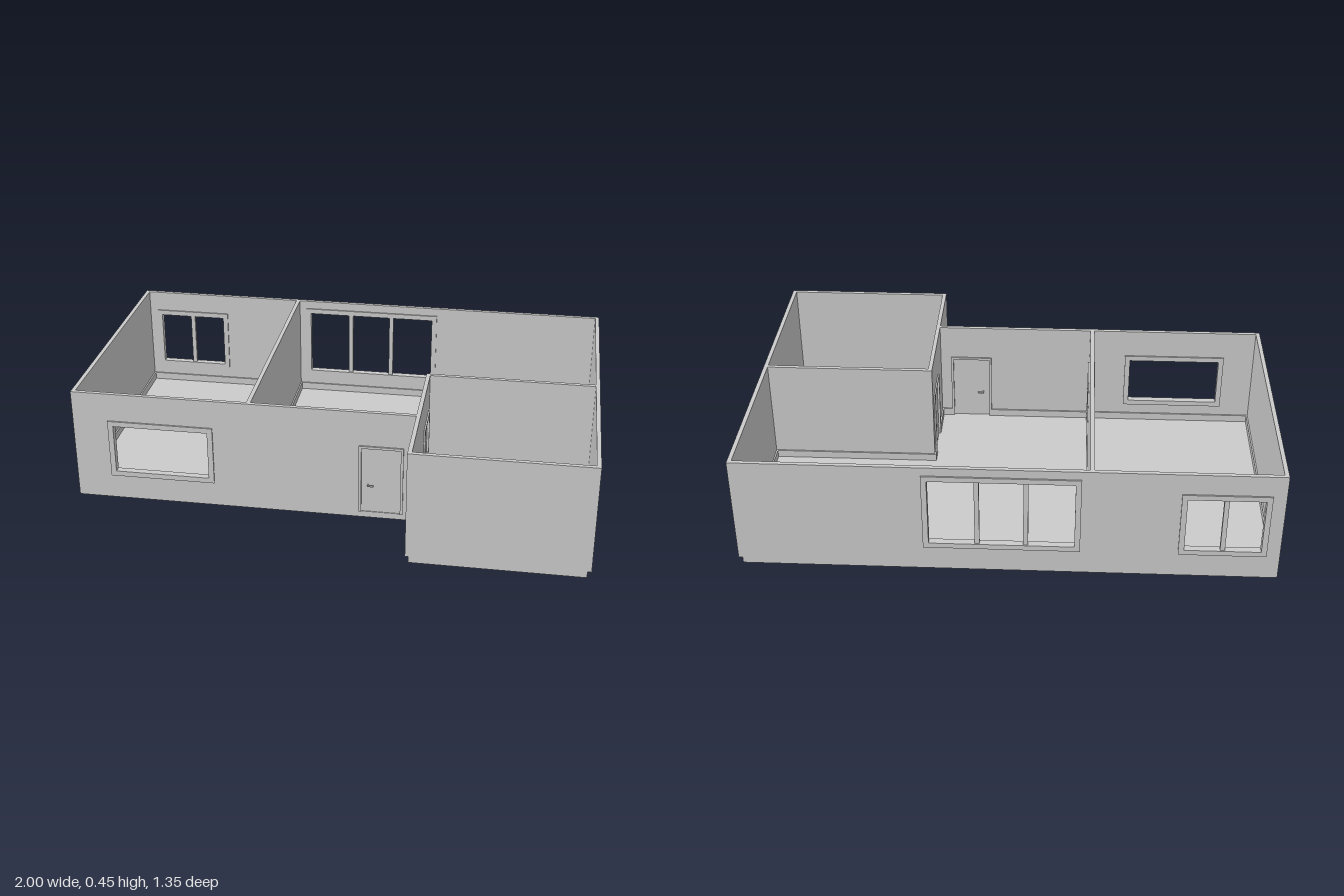
import * as THREE from 'three';

const T = 0.016;       // wall thickness
const FLOOR = 0.025;   // floor slab thickness
const TOP = 0.45;      // wall top
const BOARD = 0.006;   // skirting and trim projection
const material = new THREE.MeshStandardMaterial({ color: 0xcccccc });

// Box given by its limits
function box(parent, name, x0, x1, y0, y1, z0, z1) {
  const mesh = new THREE.Mesh(new THREE.BoxGeometry(x1 - x0, y1 - y0, z1 - z0), material);
  mesh.position.set((x0 + x1) / 2, (y0 + y1) / 2, (z0 + z1) / 2);
  mesh.name = name;
  parent.add(mesh);
  return mesh;
}

function rectPath(x0, x1, y0, y1) {
  return new THREE.Path([[x0, y0], [x0, y1], [x1, y1], [x1, y0]].map(p => new THREE.Vector2(...p))).closePath();
}

// Raised surround, running through the wall
function addTrim(parent, name, o, w) {
  const d = T / 2 + BOARD;
  const low = o.door ? FLOOR : o.y0 - w;
  box(parent, name, o.a - w, o.a, low, o.y1 + w, -d, d);
  box(parent, name, o.b, o.b + w, low, o.y1 + w, -d, d);
  box(parent, name, o.a, o.b, o.y1, o.y1 + w, -d, d);
  if (!o.door) box(parent, name, o.a, o.b, low, o.y0, -d, d);
}

function addWindow(parent, o) {
  const g = new THREE.Group();
  g.name = 'window';
  addTrim(g, 'windowFrame', o, 0.021);
  for (let i = 1; i < o.panes; i++) {
    const x = o.a + (o.b - o.a) * i / o.panes;
    box(g, 'mullion', x - 0.009, x + 0.009, o.y0, o.y1, -T / 2, T / 2);
  }
  parent.add(g);
}

function addDoor(parent, o) {
  const g = new THREE.Group();
  g.name = 'door';
  addTrim(g, 'doorFrame', o, 0.01);
  box(g, 'doorPanel', o.a, o.b, FLOOR, o.y1, -0.005, 0.005);
  // lever handle on both faces
  const x = o.a + 0.026;
  const spindle = new THREE.Mesh(new THREE.CylinderGeometry(0.003, 0.003, 0.034, 10), material);
  spindle.rotation.x = Math.PI / 2;
  spindle.position.set(x, 0.142, 0);
  spindle.name = 'handleSpindle';
  g.add(spindle);
  for (const s of [-1, 1]) {
    const lever = box(g, 'handleLever', x - 0.003, x + 0.022, 0.139, 0.144, -0.0025, 0.0025);
    lever.position.z = s * 0.016;
  }
  parent.add(g);
}

// Wall along x or z at offset c; boards are [side, start, end] skirting runs
function addWall(parent, { name, axis, from, to, c, openings = [], boards = [] }) {
  const g = new THREE.Group();
  g.name = name;
  const doors = openings.filter(o => o.door);
  const outline = [[from, FLOOR]];
  for (const o of doors) outline.push([o.a, FLOOR], [o.a, o.y1], [o.b, o.y1], [o.b, FLOOR]);
  outline.push([to, FLOOR], [to, TOP], [from, TOP]);
  const shape = new THREE.Shape(outline.map(p => new THREE.Vector2(...p)));
  for (const o of openings) if (!o.door) shape.holes.push(rectPath(o.a, o.b, o.y0, o.y1));
  const geo = new THREE.ExtrudeGeometry(shape, { depth: T, bevelEnabled: false });
  geo.translate(0, 0, -T / 2);
  const mesh = new THREE.Mesh(geo, material);
  mesh.name = name + 'Panel';
  g.add(mesh);

  for (const o of openings) (o.door ? addDoor : addWindow)(g, o);

  // skirting, interrupted at the doors
  for (const [side, start, end] of boards) {
    const z0 = side > 0 ? T / 2 : -T / 2 - BOARD;
    let a = start;
    for (const o of doors) {
      if (o.a <= start || o.b >= end) continue;
      box(g, 'skirting', a, o.a - 0.01, FLOOR, FLOOR + 0.03, z0, z0 + BOARD);
      a = o.b + 0.01;
    }
    box(g, 'skirting', a, end, FLOOR, FLOOR + 0.03, z0, z0 + BOARD);
  }

  if (axis === 'x') g.position.z = c;
  else {
    g.rotation.y = -Math.PI / 2;
    g.position.x = c;
  }
  parent.add(g);
}

export function createModel() {
  const house = new THREE.Group();
  house.name = 'house';

  // Floor slab following the plan
  const plan = [[-1, -0.667], [0.985, -0.667], [0.985, 0.672], [0.34, 0.672], [0.34, 0.38], [-1, 0.38]];
  const slab = new THREE.ExtrudeGeometry(
    new THREE.Shape(plan.map(([x, z]) => new THREE.Vector2(x, -z))),
    { depth: FLOOR, bevelEnabled: false });
  slab.rotateX(-Math.PI / 2);
  const floor = new THREE.Mesh(slab, material);
  floor.name = 'floor';
  house.add(floor);

  const walls = [
    { name: 'frontWall', axis: 'x', from: -1, to: 0.328, c: 0.372,
      openings: [
        { a: -0.84, b: -0.47, y0: 0.12, y1: 0.315, panes: 1 },
        { door: true, a: 0.125, b: 0.275, y1: 0.3 }],
      boards: [[-1, -0.984, -0.316], [-1, -0.3, 0.328]] },
    { name: 'backWall', axis: 'x', from: -1, to: 1, c: -0.659,
      openings: [
        { a: -0.93, b: -0.65, y0: 0.12, y1: 0.345, panes: 2 },
        { a: -0.25, b: 0.285, y0: 0.12, y1: 0.395, panes: 3 }],
      boards: [[1, -0.984, -0.316], [1, -0.3, 0.984]] },
    { name: 'leftEndWall', axis: 'z', from: -0.651, to: 0.364, c: -0.992,
      boards: [[-1, -0.651, 0.364]] },
    { name: 'dividingWall', axis: 'z', from: -0.651, to: 0.364, c: -0.308,
      openings: [{ door: true, a: 0.185, b: 0.335, y1: 0.3 }],
      boards: [[-1, -0.651, 0.364], [1, -0.651, 0.364]] },
    { name: 'rightEndWall', axis: 'z', from: -0.651, to: 0.656, c: 0.992,
      boards: [[1, -0.651, 0.008], [1, 0.024, 0.656]] },
    { name: 'annexFrontWall', axis: 'x', from: 0.328, to: 1, c: 0.664,
      boards: [[-1, 0.344, 0.984]] },
    { name: 'annexBackWall', axis: 'x', from: 0.344, to: 0.984, c: 0.016,
      boards: [[1, 0.344, 0.984], [-1, 0.322, 0.984]] },
    { name: 'annexSideWall', axis: 'z', from: 0.008, to: 0.656, c: 0.336,
      openings: [{ door: true, a: 0.06, b: 0.21, y1: 0.3 }],
      boards: [[-1, 0.024, 0.656], [1, 0.008, 0.364]] },
  ];
  for (const w of walls) addWall(house, w);
  return house;
}
